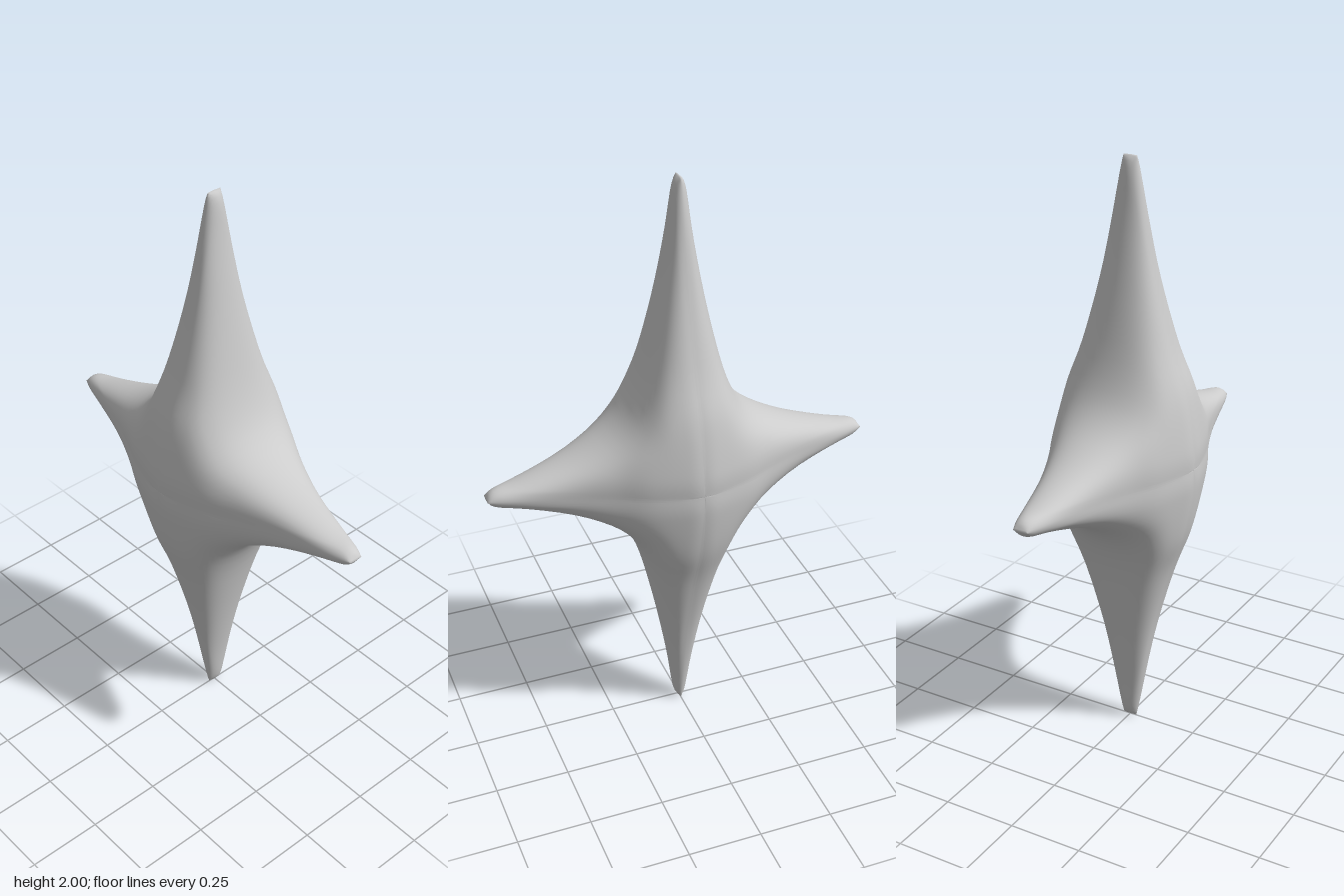
import * as THREE from 'three';

const smooth = (pts, n) => new THREE.SplineCurve(pts.map(p => new THREE.Vector2(...p))).getPoints(n);

// Linear lookup along a polyline: finds coordinate "to" where coordinate "from" equals v
function lookup(line, from, to, v) {
  for (let i = 1; i < line.length; i++) {
    const a = line[i - 1], b = line[i];
    if ((v - a[from]) * (v - b[from]) <= 0 && a[from] !== b[from])
      return a[to] + (b[to] - a[to]) * (v - a[from]) / (b[from] - a[from]);
  }
  return v <= Math.min(line[0][from], line.at(-1)[from])
    ? (line[0][from] < line.at(-1)[from] ? line[0][to] : line.at(-1)[to])
    : (line[0][from] > line.at(-1)[from] ? line[0][to] : line.at(-1)[to]);
}

// One quarter of the star outline, as (z, y) from the centre
const outline = smooth([[0, 1], [0.02, 0.965], [0.04, 0.81], [0.085, 0.56], [0.143, 0.325],
  [0.22, 0.195], [0.36, 0.108], [0.54, 0.047], [0.63, 0.027], [0.655, 0]], 36);
// Half thickness along the tall arms and along the short arms
const tall = smooth([[0, 0.236], [0.08, 0.235], [0.25, 0.205], [0.4, 0.152], [0.64, 0.09],
  [0.9, 0.043], [1, 0.024]], 40);
const short = smooth([[0, 0.238], [0.05, 0.234], [0.17, 0.198], [0.27, 0.15], [0.4, 0.1],
  [0.59, 0.048], [0.655, 0.024]], 40);

// Half thickness of the body at (y, z): ridges on both axes, rounded off at the outline
function thickness(y, z) {
  y = Math.abs(y);
  z = Math.abs(z);
  const t = Math.min(1, (z / Math.max(lookup(outline, 'y', 'x', y), 1e-4)) *
    (y / Math.max(lookup(outline, 'x', 'y', z), 1e-4)));
  return lookup(tall, 'x', 'y', y) * lookup(short, 'x', 'y', z) / 0.237 * Math.sqrt(1 - t * t);
}

export function createModel() {
  // Mirror the quarter into a closed loop
  const loop = [];
  for (let q = 0; q < 4; q++) {
    const quarter = q % 2 ? [...outline].reverse() : outline;
    const sz = q < 2 ? 1 : -1, sy = q === 0 || q === 3 ? 1 : -1;
    quarter.slice(0, -1).forEach(p => loop.push([p.y * sy, p.x * sz]));
  }

  // Rings shrink from the outline to the centre on each face
  const rings = 56, count = loop.length, pos = [], idx = [];
  for (let j = 0; j <= rings; j++) {
    const a = Math.PI * (j / rings - 0.5);
    const s = Math.max(Math.cos(a), 1e-4);
    for (const [y, z] of loop) {
      const x = j === rings / 2 ? 0 : -Math.sign(a) * thickness(y * s, z * s);
      pos.push(x, 1 + y * s, z * s);
    }
  }
  for (let j = 0; j < rings; j++) {
    for (let i = 0; i < count; i++) {
      const a = j * count + i, b = j * count + (i + 1) % count;
      idx.push(a, a + count, b, b, a + count, b + count);
    }
  }
  const geo = new THREE.BufferGeometry();
  geo.setAttribute('position', new THREE.Float32BufferAttribute(pos, 3));
  geo.setIndex(idx);
  geo.computeVertexNormals();

  const body = new THREE.Mesh(geo, new THREE.MeshStandardMaterial({ color: 0xcccccc }));
  body.name = 'fourPointedStar';
  const group = new THREE.Group();
  group.name = 'star';
  group.add(body);
  return group;
}
